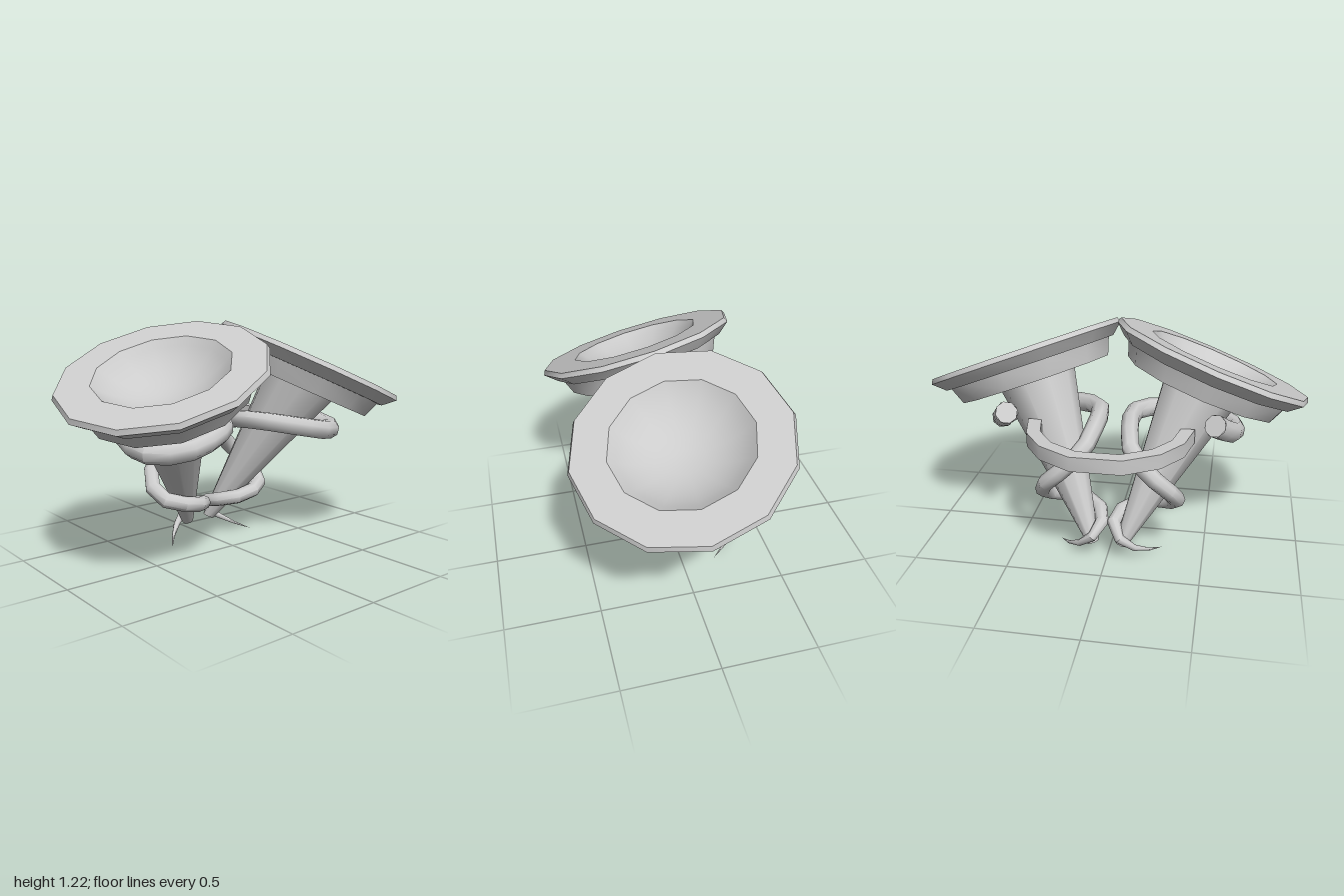
import * as THREE from 'three';
import { toCreasedNormals } from 'three/addons/utils/BufferGeometryUtils.js';

const grey = new THREE.MeshStandardMaterial({ color: 0xcccccc, side: THREE.DoubleSide });
const v = (x, y, z) => new THREE.Vector3(x, y, z);

// Tilt of the head: forward first, then outward
const tilt = new THREE.Euler(0.205, 0, -0.37, 'ZXY');
const headCentre = v(0.5, 1.01, 0.075);

function part(name, geometry) {
  const mesh = new THREE.Mesh(geometry, grey);
  mesh.name = name;
  return mesh;
}

// Wide twelve-sided head: stepped drum, bevelled rim and hollow bowl
function makeHead() {
  const profile = [[0, -0.17], [0.415, -0.17], [0.45, -0.08], [0.475, -0.08], [0.537, -0.025], [0.525, 0], [0.35, 0]];
  const r = 0.35, depth = 0.15;
  const R = (r * r + depth * depth) / (2 * depth), half = Math.asin(r / R);
  for (let i = 7; i >= 0; i--) {
    const a = half * i / 8;
    profile.push([R * Math.sin(a), R - depth - R * Math.cos(a)]);
  }
  const lathe = new THREE.LatheGeometry(profile.map(p => new THREE.Vector2(...p)), 12);
  const head = part('flaredHead', toCreasedNormals(lathe, 0.6));
  head.position.copy(headCentre);
  head.rotation.copy(tilt);
  return head;
}

// Slanted stem narrowing to a small foot, its ends parallel to the head
function makeStem() {
  const foot = v(0.075, 0.085, -0.32);
  const top = v(0, -0.165, 0).applyEuler(tilt).add(headCentre);
  const cone = new THREE.CylinderGeometry(0.21, 0.032, 1, 10);
  cone.translate(0, 0.5, 0);
  cone.applyMatrix4(new THREE.Matrix4().makeBasis(
    v(1, 0, 0).applyEuler(tilt), top.sub(foot), v(0, 0, 1).applyEuler(tilt)));
  const stem = part('stem', toCreasedNormals(cone, 0.8));
  stem.position.copy(foot);
  return stem;
}

// Tendril coiling up the stem, pointed at the bottom and thick at the top
function makeTendril() {
  const path = new THREE.CatmullRomCurve3([
    v(0.28, 0, -0.18), v(0.2, 0.04, -0.28), v(0.1, 0.11, -0.355), v(0.045, 0.17, -0.34),
    v(0.035, 0.205, -0.24), v(0.1, 0.225, -0.14), v(0.22, 0.25, -0.11), v(0.34, 0.29, -0.18),
    v(0.345, 0.38, -0.29), v(0.25, 0.48, -0.33), v(0.13, 0.6, -0.29), v(0.09, 0.68, -0.13),
    v(0.1, 0.7, 0.05), v(0.27, 0.67, 0.2), v(0.47, 0.63, 0.23), v(0.61, 0.62, 0.13),
    v(0.62, 0.65, -0.04), v(0.58, 0.7, -0.15), v(0.53, 0.765, -0.25),
  ]);
  const steps = 26, sides = 8, thick = 0.058;
  const tube = new THREE.TubeGeometry(path, steps, thick, sides);
  const pos = tube.attributes.position, p = v(0, 0, 0);
  for (let i = 0; i <= steps; i++) {
    const t = i / steps, centre = path.getPointAt(t);
    const k = Math.min(1, t * 6) * (0.62 + 0.38 * t);
    for (let j = 0; j <= sides; j++) {
      const n = i * (sides + 1) + j;
      p.fromBufferAttribute(pos, n).sub(centre).multiplyScalar(k).add(centre);
      pos.setXYZ(n, p.x, p.y, p.z);
    }
  }
  const group = new THREE.Group();
  group.name = 'tendril';
  const cap = part('tendrilEnd', new THREE.CircleGeometry(thick, sides));
  cap.position.copy(path.getPointAt(1));
  cap.quaternion.setFromUnitVectors(v(0, 0, 1), path.getTangentAt(1));
  group.add(part('tendrilCoil', toCreasedNormals(tube, 0.9)), cap);
  return group;
}

// Curved strap joining both stems at the back
function makeStrap() {
  const angles = [0, 24, 47, 73, 107, 133, 156, 180].map(THREE.MathUtils.degToRad);
  const arc = r => angles.map(a => new THREE.Vector2(r * Math.cos(a), r * Math.sin(a)));
  const shape = new THREE.Shape([...arc(0.43), ...arc(0.36).reverse()]);
  const geometry = new THREE.ExtrudeGeometry(shape, { depth: 0.075, bevelEnabled: false });
  geometry.rotateX(-Math.PI / 2);
  const strap = part('backStrap', toCreasedNormals(geometry, 0.6));
  strap.position.set(0, 0.643, -0.2);
  return strap;
}

export function createModel() {
  const model = new THREE.Group();
  model.name = 'twinHorns';
  for (const side of [1, -1]) {
    const horn = new THREE.Group();
    horn.name = side > 0 ? 'leftHorn' : 'rightHorn';
    horn.add(makeHead(), makeStem(), makeTendril());
    horn.scale.x = side;
    model.add(horn);
  }
  model.add(makeStrap());
  return model;
}
